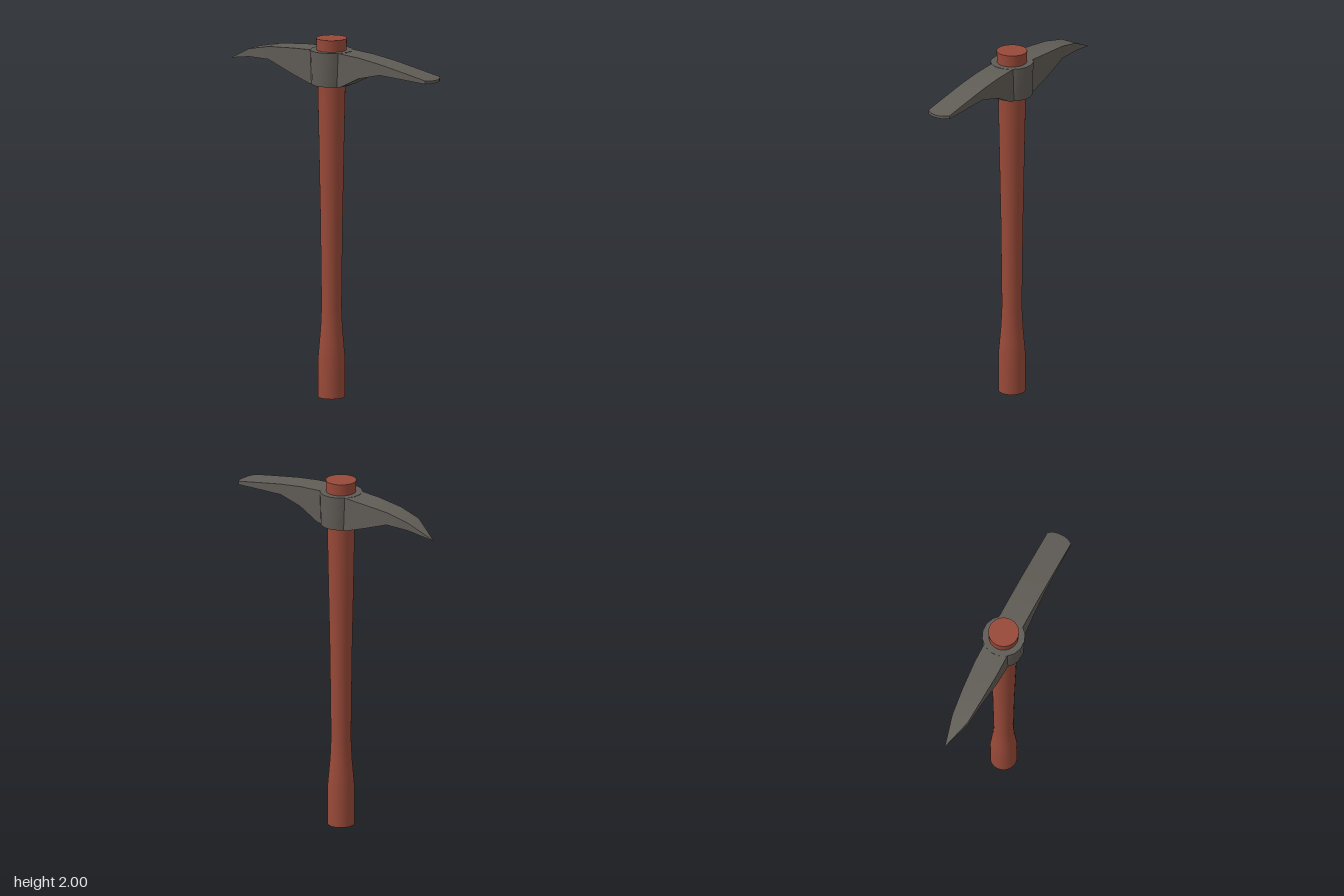
import * as THREE from 'three';
import { toCreasedNormals } from 'three/addons/utils/BufferGeometryUtils.js';

const wood = new THREE.MeshStandardMaterial({ color: 0x984938 });
wood.name = 'red brown wood';
const iron = new THREE.MeshStandardMaterial({ color: 0x605c56 });
iron.name = 'dark iron';

const AXIS = -0.01; // x of the handle axis

// Loft rectangular sections [x, top, bottom, halfWidth, zCentre] along x
function loftBar(sections) {
  const pos = [], index = [];
  for (const [x, t, b, w, z] of sections) {
    pos.push(x, t, z + w, x, t, z - w, x, b, z - w, x, b, z + w);
  }
  const last = (sections.length - 1) * 4;
  for (let i = 0; i < last; i += 4) {
    for (let k = 0; k < 4; k++) {
      const a = i + k, b = i + (k + 1) % 4;
      index.push(a, a + 4, b, a + 4, b + 4, b);
    }
  }
  index.push(0, 1, 2, 0, 2, 3);
  index.push(last, last + 2, last + 1, last, last + 3, last + 2);
  const geo = new THREE.BufferGeometry();
  geo.setAttribute('position', new THREE.Float32BufferAttribute(pos, 3));
  geo.setIndex(index);
  return toCreasedNormals(geo, 0.3);
}

function addPart(group, name, geo, material) {
  const mesh = new THREE.Mesh(geo, material);
  mesh.name = name;
  group.add(mesh);
  return mesh;
}

export function createModel() {
  const model = new THREE.Group();
  model.name = 'pickaxe';

  // Turned handle: thick grip, slim waist, widening towards the head
  const profile = [
    [0, 0], [0.074, 0], [0.074, 0.22], [0.067, 0.3], [0.06, 0.38], [0.055, 0.5],
    [0.061, 1], [0.076, 1.75], [0.084, 2], [0, 2],
  ].map(([r, y]) => new THREE.Vector2(r, y));
  const handle = toCreasedNormals(new THREE.LatheGeometry(profile, 32), 0.6);
  addPart(model, 'handle', handle, wood).position.x = AXIS;

  // Collar around the handle
  const ring = new THREE.CylinderGeometry(0.118, 0.112, 0.19, 16);
  ring.rotateY(Math.PI / 16);
  addPart(model, 'collar', toCreasedNormals(ring, 0.6), iron).position.set(AXIS, 1.84, 0);

  // Pointed arm on the right
  addPart(model, 'pointedArm', loftBar([
    [-0.686, 1.811, 1.809, 0.001, -0.014],
    [-0.53, 1.887, 1.842, 0.048, -0.002],
    [-0.39, 1.917, 1.845, 0.061, -0.002],
    [-0.22, 1.93, 1.784, 0.072, -0.002],
    [-0.11, 1.934, 1.746, 0.072, -0.002],
    [AXIS, 1.935, 1.745, 0.072, -0.002],
  ]), iron);

  // Broad arm on the left, with a rounded cutting end
  addPart(model, 'broadArm', loftBar([
    [AXIS, 1.935, 1.745, 0.072, -0.002],
    [0.095, 1.934, 1.746, 0.072, -0.002],
    [0.22, 1.925, 1.81, 0.072, -0.002],
    [0.36, 1.906, 1.845, 0.072, -0.002],
    [0.52, 1.877, 1.838, 0.072, -0.002],
    [0.664, 1.85, 1.831, 0.072, -0.002],
    [0.682, 1.847, 1.83, 0.042, -0.002],
    [0.688, 1.845, 1.83, 0.014, -0.002],
  ]), iron);

  return model;
}
